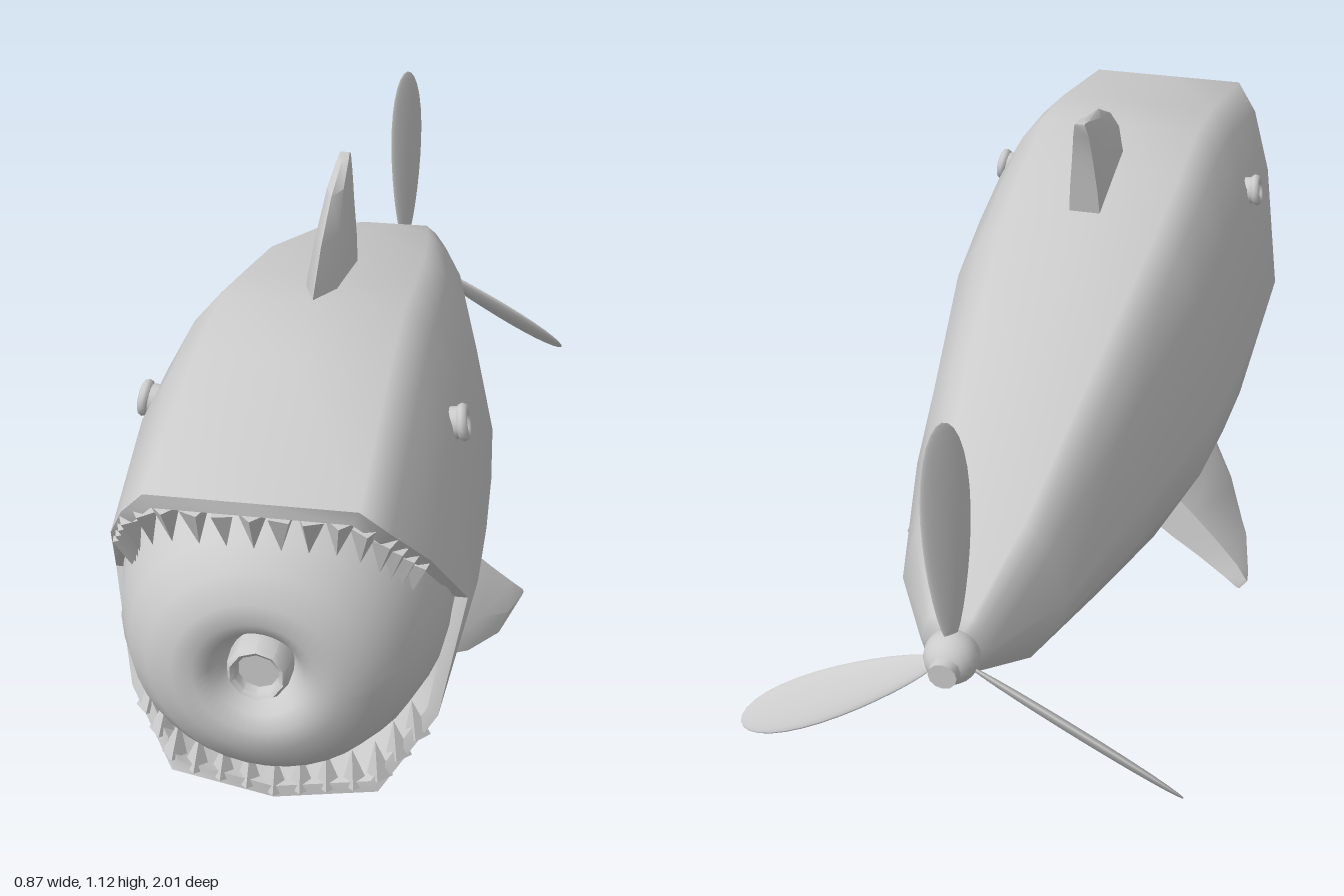
import * as THREE from 'three';
import { toCreasedNormals } from 'three/addons/utils/BufferGeometryUtils.js';

const material = new THREE.MeshStandardMaterial({ color: 0xcccccc });

function add(parent, name, geometry) {
  const mesh = new THREE.Mesh(geometry, material);
  mesh.name = name;
  parent.add(mesh);
  return mesh;
}

// Skin closed rings of [x, y, z] points, each ring clockwise seen from the first end
function loft(rings) {
  const n = rings[0].length;
  const index = [];
  for (let i = 0; i < rings.length - 1; i++) {
    for (let j = 0; j < n; j++) {
      const k = (j + 1) % n;
      const a = i * n + j, b = i * n + k, c = a + n, d = b + n;
      index.push(a, b, c, b, d, c);
    }
  }
  const geometry = new THREE.BufferGeometry();
  geometry.setAttribute('position', new THREE.Float32BufferAttribute(rings.flat(2), 3));
  geometry.setIndex(index);
  geometry.computeVertexNormals();
  return geometry;
}

// Complete a half ring (top centre to bottom centre) with its mirror image
const mirrorRing = half => [
  ...half,
  ...half.slice(1, -1).reverse().map(([x, y, z]) => [-x, y, z]),
];

// Half cross-section as fractions of half width and height
const section = [[0, 1], [0.51, 1], [0.66, 0.94], [0.82, 0.83], [1, 0.505], [0.88, 0.29], [0.57, 0.06], [0, 0]];
const bodyRing = ([z, top, bottom, width]) =>
  mirrorRing(section.map(([u, v]) => [u * width, bottom + v * (top - bottom), z]));

// Open jaw edge
const rim = mirrorRing([
  [0, 0.85, 1], [0.185, 0.85, 1], [0.235, 0.79, 0.965], [0.29, 0.68, 0.86],
  [0.342, 0.49, 0.68], [0.3, 0.27, 0.76], [0.2, 0.155, 0.86], [0, 0.12, 0.865],
]);

// Tapered fin: levels are [height, leading z, trailing z, half thickness]
function finGeometry() {
  const levels = [
    [0.165, 0.04, 0.03, 0.01], [0.16, 0.07, 0.03, 0.012], [0.13, 0.2, 0.042, 0.017],
    [0.07, 0.32, 0.055, 0.023], [0, 0.41, 0.065, 0.03], [-0.1, 0.47, 0.08, 0.036],
  ];
  const rings = levels.map(([y, lead, trail, t]) => {
    const mid = lead + (trail - lead) * 0.3;
    return [[0, y, lead], [-t, y, mid], [-t, y, trail], [t, y, trail], [t, y, mid]];
  });
  rings.unshift(rings[0].map(() => [0, 0.165, 0.035]));
  return toCreasedNormals(loft(rings), 0.7);
}

function addTeeth(parent, name, path, count, up) {
  const teeth = new THREE.Group();
  teeth.name = name;
  parent.add(teeth);
  const points = path.map(p => new THREE.Vector3(...p));
  const curve = new THREE.CatmullRomCurve3(points, false, 'catmullrom', 0);
  const cone = toCreasedNormals(new THREE.ConeGeometry(0.026, 0.075, 4), 0.5);
  for (const p of curve.getSpacedPoints(count - 1)) {
    const tooth = add(teeth, 'tooth', cone);
    const direction = new THREE.Vector3(-p.x * 0.7, up, -0.1).normalize();
    tooth.quaternion.setFromUnitVectors(new THREE.Vector3(0, 1, 0), direction);
    tooth.position.copy(p).addScaledVector(direction, 0.03);
  }
}

const mirrorPath = half => [...half.map(([x, y, z]) => [-x, y, z]), ...half.filter(p => p[0] > 0).reverse()];

export function createModel() {
  const model = new THREE.Group();
  model.name = 'sharkSubmarine';

  // Hull: z, top, bottom, half width
  const stations = [
    [0.62, 0.935, 0.037, 0.355], [0.42, 0.96, 0.005, 0.352], [0.22, 0.928, 0.035, 0.343],
    [0, 0.89, 0.075, 0.325], [-0.37, 0.79, 0.205, 0.252], [-0.74, 0.66, 0.33, 0.16],
    [-0.92, 0.575, 0.445, 0.065], [-0.93, 0.51, 0.5, 0.005],
  ];
  add(model, 'body', loft([rim, ...stations.map(bodyRing)]));

  // Lip and mouth lining
  const shrink = (s, z) => rim.map(p => [p[0] * s, 0.485 + (p[1] - 0.485) * s, z ?? p[2]]);
  const lining = loft([shrink(0.02, 0.5), shrink(0.88, 0.52), shrink(0.93), rim]);
  add(model, 'mouthLining', toCreasedNormals(lining, 0.8));

  // Rounded nose filling the mouth, with a dimple and a small nub
  const noseProfile = [
    [0.3, 0.52], [0.318, 0.64], [0.312, 0.74], [0.285, 0.845], [0.25, 0.92], [0.205, 0.97],
    [0.155, 0.995], [0.115, 0.998], [0.088, 0.982], [0.068, 0.95], [0.058, 0.93],
  ].map(p => new THREE.Vector2(...p));
  const nose = add(model, 'mouthBall', new THREE.LatheGeometry(noseProfile, 40));
  const nubProfile = [
    [0.06, 0.91], [0.058, 0.975], [0.05, 0.988], [0.042, 0.982], [0.038, 0.965], [0, 0.965],
  ].map(p => new THREE.Vector2(...p));
  const nub = add(model, 'ballNub', toCreasedNormals(new THREE.LatheGeometry(nubProfile, 10), 0.7));
  for (const part of [nose, nub]) {
    part.rotation.x = Math.PI / 2;
    part.position.y = 0.488;
  }

  // Teeth
  addTeeth(model, 'upperTeeth', mirrorPath([[0.268, 0.665, 0.85], [0.22, 0.77, 0.955], [0.17, 0.815, 0.985]]), 17, -1);
  addTeeth(model, 'lowerTeeth', mirrorPath([[0.262, 0.24, 0.775], [0.188, 0.172, 0.845], [0, 0.135, 0.85]]), 13, 1);

  // Fins
  const fin = finGeometry();
  add(model, 'dorsalFin', fin).position.y = 0.96;
  for (const side of [1, -1]) {
    const sideFin = add(model, side > 0 ? 'leftFin' : 'rightFin', fin);
    sideFin.position.set(side * 0.25, 0.155, -0.06);
    sideFin.rotation.z = -side * 2.21;
    sideFin.scale.set(1.4, 1.15, 1.15);

    // Eye: short stub with a raised ring
    const eye = new THREE.Group();
    eye.name = side > 0 ? 'leftEye' : 'rightEye';
    eye.position.set(side * 0.295, 0.778, 0.525);
    eye.rotation.z = -side * 1.4;
    add(eye, 'eyeStub', new THREE.CylinderGeometry(0.03, 0.034, 0.06, 16)).position.y = -0.012;
    const ring = add(eye, 'eyeRing', new THREE.TorusGeometry(0.026, 0.011, 8, 20));
    ring.rotation.x = Math.PI / 2;
    ring.position.y = 0.014;
    model.add(eye);
  }

  // Propeller: hub and three pitched blades
  const propeller = new THREE.Group();
  propeller.name = 'propeller';
  propeller.position.set(0, 0.5, -0.94);
  model.add(propeller);
  add(propeller, 'hub', new THREE.SphereGeometry(0.052, 20, 14));
  const cap = add(propeller, 'hubCap', toCreasedNormals(new THREE.CylinderGeometry(0.032, 0.027, 0.04, 12), 0.7));
  cap.rotation.x = Math.PI / 2;
  cap.position.z = -0.04;

  const blade = new THREE.SphereGeometry(1, 20, 16);
  const pos = blade.attributes.position;
  for (let i = 0; i < pos.count; i++) {
    const y = pos.getY(i);
    // narrower towards the hub
    pos.setXYZ(i, pos.getX(i) * 0.055 * (0.86 + 0.24 * y), 0.265 + y * 0.235, pos.getZ(i) * 0.009);
  }
  blade.computeVertexNormals();
  for (let i = 0; i < 3; i++) {
    const arm = new THREE.Group();
    arm.name = 'bladeArm';
    arm.rotation.z = (i * Math.PI * 2) / 3;
    add(arm, 'blade', blade).rotation.y = Math.PI / 4;
    propeller.add(arm);
  }

  return model;
}
